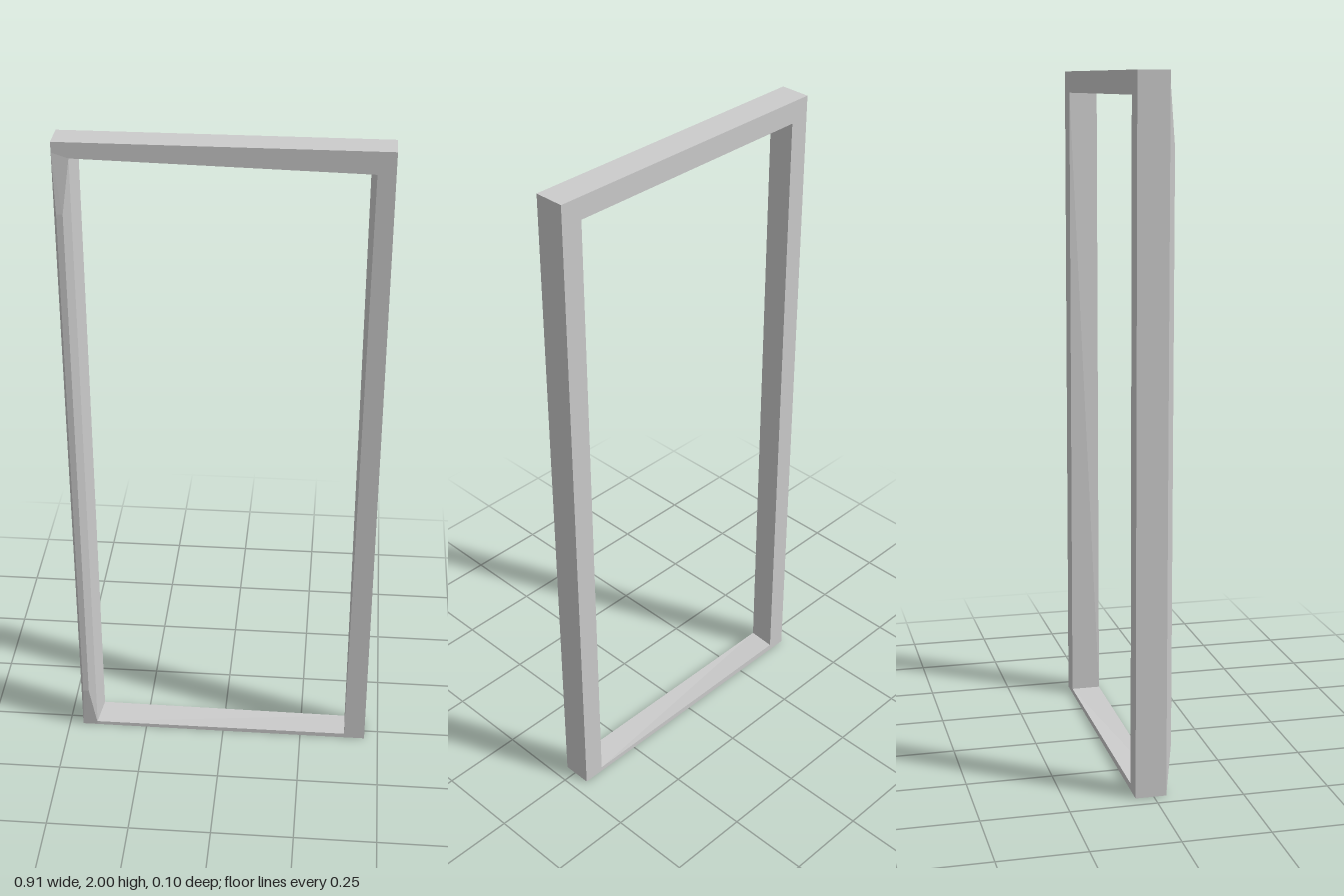
import * as THREE from 'three';
import { ConvexGeometry } from 'three/addons/geometries/ConvexGeometry.js';

const FRONT = 0.036, BACK = -0.053, W = 0.457, H = 2;

// Closed ring solid: each loop of corners is joined to the next, the last to the first.
function ringSolid(loops) {
  const pos = [];
  loops.forEach((a, k) => {
    const b = loops[(k + 1) % loops.length];
    for (let i = 0; i < a.length; i++) {
      const j = (i + 1) % a.length;
      pos.push(...a[i], ...a[j], ...b[j], ...a[i], ...b[j], ...b[i]);
    }
  });
  const geometry = new THREE.BufferGeometry();
  geometry.setAttribute('position', new THREE.Float32BufferAttribute(pos, 3));
  geometry.computeVertexNormals();
  return geometry;
}

const atDepth = (corners, z) => corners.map(([x, y]) => [x, y, z]);

export function createModel() {
  const group = new THREE.Group();
  group.name = 'doorFrame';
  const material = new THREE.MeshStandardMaterial({ color: 0xcccccc, flatShading: true });

  // Frame: rectangular outside, with an opening slightly skewed towards the front
  const outer = [[-W, 0], [W, 0], [W, H], [-W, H]];
  const frontOpening = [[-0.41, 0.012], [0.392, 0.015], [0.407, 1.936], [-0.41, 1.955]];
  const backOpening = [[-0.398, 0.02], [0.392, 0.015], [0.392, 1.936], [-0.398, 1.936]];
  const frame = new THREE.Mesh(ringSolid([
    atDepth(outer, FRONT),
    atDepth(frontOpening, FRONT),
    atDepth(backOpening, BACK),
    atDepth(outer, BACK),
  ]), material);
  frame.name = 'frame';
  group.add(frame);

  // Raised strip on one jamb, sloping back into the frame at both ends
  const base = [[-W, 0], [-0.41, 0.005], [-0.41, 1.955], [-W, 1.97]];
  const ridge = [[-0.449, 0.15], [-0.431, 0.15], [-0.431, 1.8], [-0.449, 1.8]];
  const points = [...atDepth(base, FRONT), ...atDepth(ridge, 0.051)]
    .map((p) => new THREE.Vector3(...p));
  const strip = new THREE.Mesh(new ConvexGeometry(points), material);
  strip.name = 'jambStrip';
  group.add(strip);

  return group;
}
